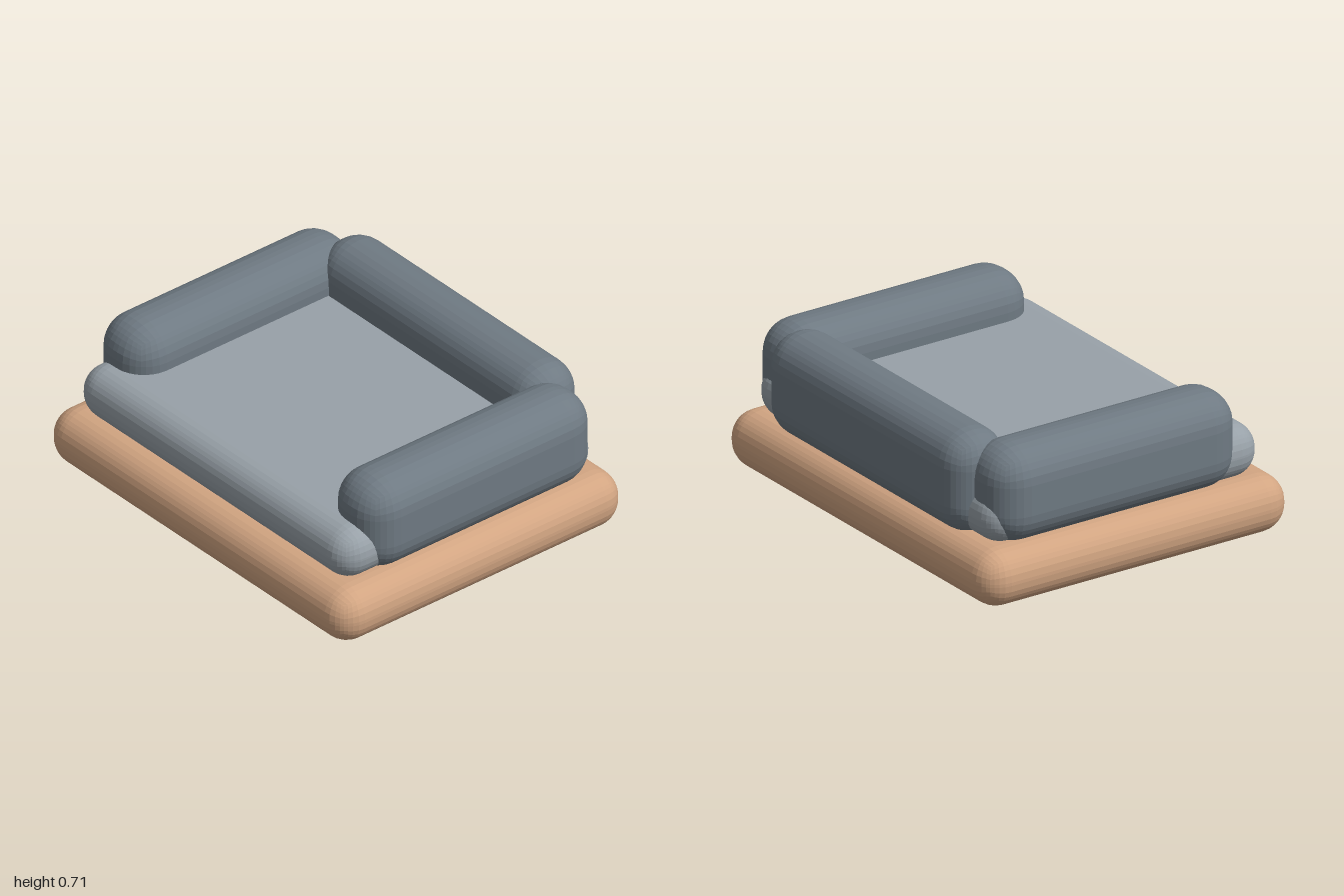
import * as THREE from 'three';
import { RoundedBoxGeometry } from 'three/addons/geometries/RoundedBoxGeometry.js';

function material(name, color) {
  const m = new THREE.MeshStandardMaterial({ color, flatShading: true });
  m.name = name;
  return m;
}

// Rounded block given by its extents on each axis
function block(name, [x0, x1], [y0, y1], [z0, z1], radius, mat) {
  const geometry = new RoundedBoxGeometry(x1 - x0, y1 - y0, z1 - z0, 4, radius);
  const mesh = new THREE.Mesh(geometry, mat);
  mesh.position.set((x0 + x1) / 2, (y0 + y1) / 2, (z0 + z1) / 2);
  mesh.name = name;
  return mesh;
}

export function createModel() {
  const wood = material('tan base', 0xd2a582);
  const fabric = material('grey cushion', 0x98a1a8);
  const darkFabric = material('dark grey upholstery', 0x6f7a83);

  const sofa = new THREE.Group();
  sofa.name = 'sofa';

  // Base platform and seat cushion
  sofa.add(block('base', [-1, 1], [0, 0.265], [-0.8, 0.8], 0.125, wood));
  sofa.add(block('seat', [-0.905, 0.905], [0.245, 0.495], [-0.71, 0.71], 0.12, fabric));

  // Backrest
  sofa.add(block('backrest', [-0.75, 0.75], [0.24, 0.715], [-0.78, -0.47], 0.15, darkFabric));

  // Armrests, mirrored
  sofa.add(block('leftArm', [0.61, 0.947], [0.24, 0.69], [-0.69, 0.583], 0.155, darkFabric));
  sofa.add(block('rightArm', [-0.947, -0.61], [0.24, 0.69], [-0.69, 0.583], 0.155, darkFabric));

  return sofa;
}
